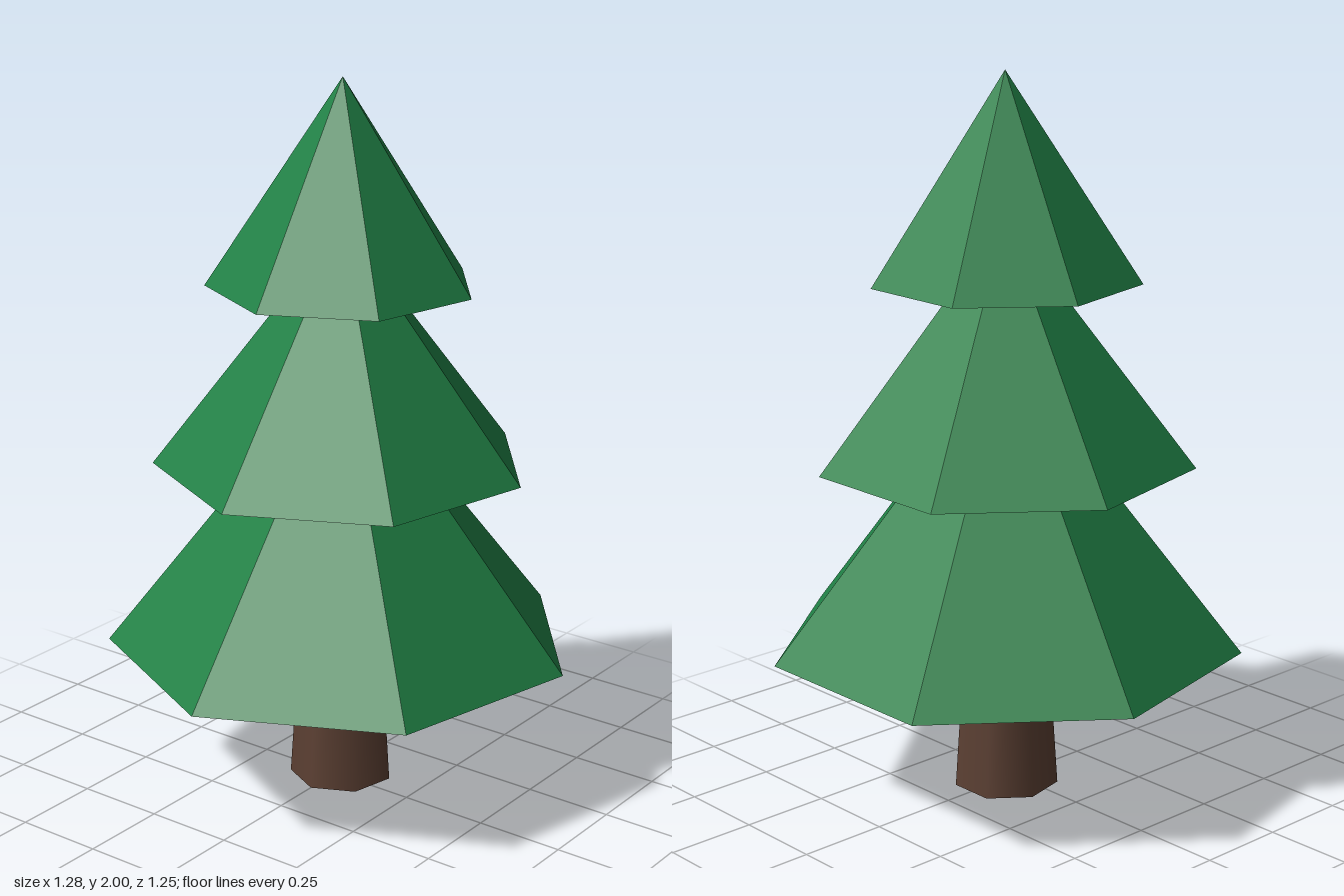
import * as THREE from 'three';

const SIDES = 7;

export function createModel() {
  const tree = new THREE.Group();
  tree.name = 'pineTree';
  const bark = new THREE.MeshStandardMaterial({ color: 0x5c4033 });
  const needles = new THREE.MeshStandardMaterial({ color: 0x208045, flatShading: true });

  // Stands a seven-sided frustum or cone on height y
  function addPart(name, topRadius, bottomRadius, height, y, material) {
    const geometry = new THREE.CylinderGeometry(topRadius, bottomRadius, height, SIDES);
    const mesh = new THREE.Mesh(geometry, material);
    mesh.name = name;
    mesh.position.y = y + height / 2;
    tree.add(mesh);
  }

  // Tapered trunk, smooth around its sides
  addPart('trunk', 0.12, 0.147, 0.415, 0, bark);

  // Three overlapping foliage cones: radius, height, base height
  const tiers = [
    ['lowerFoliage', 0.655, 0.825, 0.415],
    ['middleFoliage', 0.52, 0.67, 0.938],
    ['upperFoliage', 0.37, 0.56, 1.44],
  ];
  for (const [name, radius, height, y] of tiers) addPart(name, 0, radius, height, y, needles);

  // The odd number of sides puts the axis slightly behind the centre
  tree.children.forEach((part) => { part.position.z = -0.0325; });
  return tree;
}
